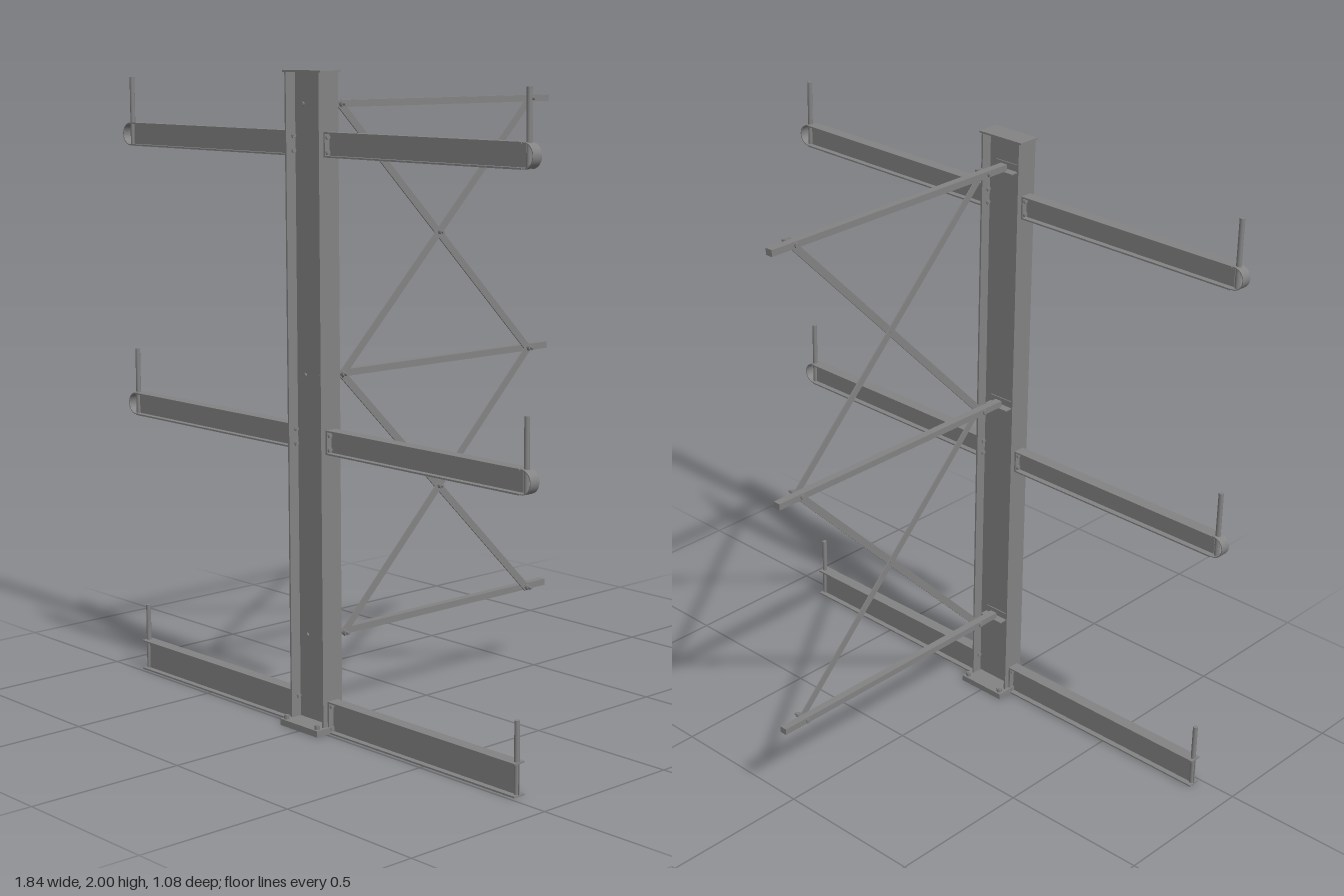
import * as THREE from 'three';

const Z = 0.466; // depth of the column centre line
const mat = new THREE.MeshStandardMaterial({ color: 0x838383 });

export function createModel() {
  const model = new THREE.Group();

  function add(geo, name, x = 0, y = 0, z = 0, parent = model) {
    const m = new THREE.Mesh(geo, mat);
    m.name = name;
    m.position.set(x, y, z);
    parent.add(m);
    return m;
  }
  const box = (name, w, h, d, x, y, z) => add(new THREE.BoxGeometry(w, h, d), name, x, y, z);

  // I-section in the shape plane (flanges at top and bottom), extruded along its length
  function iBeam(h, w, flange, web, length) {
    const a = w / 2, b = h / 2, c = web / 2, f = b - flange;
    const pts = [[-a, -b], [a, -b], [a, -f], [c, -f], [c, f], [a, f], [a, b], [-a, b], [-a, f], [-c, f], [-c, -f], [-a, -f]];
    const shape = new THREE.Shape(pts.map(p => new THREE.Vector2(...p)));
    return new THREE.ExtrudeGeometry(shape, { depth: length, bevelEnabled: false });
  }

  // Hexagonal bolt head with a short shank, along the given axis
  function bolt(name, axis, x, y, z, r, len, shank = len * 1.3) {
    const g = new THREE.Group();
    g.name = name;
    add(new THREE.CylinderGeometry(r, r, len, 6), 'boltHead', 0, 0, 0, g);
    add(new THREE.CylinderGeometry(r * 0.55, r * 0.55, shank, 10), 'boltShank', 0, 0, 0, g);
    if (axis === 'x') g.rotation.z = Math.PI / 2;
    if (axis === 'z') g.rotation.x = Math.PI / 2;
    g.position.set(x, y, z);
    model.add(g);
  }

  // Column: flanges on the left and right, web across
  const column = iBeam(0.154, 0.076, 0.006, 0.005, 1.974);
  column.rotateZ(Math.PI / 2).rotateX(-Math.PI / 2);
  add(column, 'column', 0, 0.02, Z);
  box('columnCap', 0.172, 0.006, 0.078, 0, 1.997, Z);

  // Base plate with anchor bolts
  box('basePlate', 0.174, 0.02, 0.148, 0, 0.01, 0.464);
  for (const x of [-0.072, 0.072])
    for (const z of [0.404, 0.524]) bolt('anchorBolt', 'y', x, 0.026, z, 0.009, 0.012);

  // Rounded strap closing the end of an arm
  function endStrap(r, t, width) {
    const s = new THREE.Shape();
    s.moveTo(-0.018, -r);
    s.lineTo(0, -r);
    s.absarc(0, 0, r, -Math.PI / 2, Math.PI / 2, false);
    s.lineTo(-0.018, r);
    s.lineTo(-0.018, r - t);
    s.lineTo(0, r - t);
    s.absarc(0, 0, r - t, Math.PI / 2, -Math.PI / 2, true);
    s.lineTo(-0.018, -r + t);
    return new THREE.ExtrudeGeometry(s, { depth: width, bevelEnabled: false, curveSegments: 20 }).translate(0, 0, -width / 2);
  }

  // Arms on both sides: two load levels and the base
  const levels = [
    { y: 0.05, h: 0.1, end: 0.87, pin: 0.86, top: 0.22, name: 'baseArm' },
    { y: 0.901, h: 0.074, end: 0.88, pin: 0.89, top: 1.083, name: 'middleArm' },
    { y: 1.785, h: 0.074, end: 0.88, pin: 0.89, top: 1.967, name: 'topArm' },
  ];
  for (const L of levels) {
    for (const s of [-1, 1]) {
      const beam = iBeam(L.h, 0.041, 0.005, 0.004, L.end - 0.083).rotateY(s * Math.PI / 2);
      add(beam, L.name, s * 0.083, L.y, Z);
      box('armEndPlate', 0.006, L.h, 0.041, s * 0.08, L.y, Z);
      for (const dy of [-1, 1])
        for (const dz of [-0.011, 0.011]) {
          const by = L.y + dy * (L.h / 2 - 0.015);
          bolt('armBolt', 'x', s * 0.086, by, Z + dz, 0.008, 0.006);
          bolt('armNut', 'x', s * 0.069, by, Z + dz, 0.008, 0.006);
        }
      if (L.name !== 'baseArm') {
        const strap = add(endStrap(0.036, 0.003, 0.034), 'armEndStrap', s * 0.885, L.y, Z);
        if (s < 0) strap.rotation.y = Math.PI;
      }
      // Upright stop pin
      const low = L.y - L.h / 2 + 0.002;
      add(new THREE.CylinderGeometry(0.008, 0.008, L.top - low, 14), 'stopPin', s * L.pin, (L.top + low) / 2, Z);
    }
  }

  // Horizontal braces with angle brackets bolted to the column web
  const braceY = [0.284, 1.09, 1.9];
  for (const y of braceY) {
    box('horizontalBrace', 0.025, 0.021, 0.982, -0.002, y, -0.046);
    box('braceBracket', 0.09, 0.004, 0.032, 0, y - 0.0125, 0.448);
    box('braceBracketLeg', 0.09, 0.026, 0.004, 0, y - 0.0015, 0.462);
    for (const x of [-0.034, 0.034]) bolt('bracketBolt', 'z', x, y, 0.47, 0.007, 0.006);
    for (const z of [0.365, -0.443]) {
      bolt('braceBolt', 'x', 0.024, y, z, 0.01, 0.012, 0.034);
      bolt('braceNut', 'x', -0.017, y, z, 0.009, 0.006);
    }
  }

  // Crossed diagonal flats in each bay
  for (let i = 0; i < 2; i++) {
    const y0 = braceY[i], y1 = braceY[i + 1], dy = y1 - y0, dz = 0.808;
    for (const s of [-1, 1]) {
      const bar = box('diagonalBrace', 0.004, 0.024, Math.hypot(dy, dz) + 0.016, 0.0145 + s * 0.002, (y0 + y1) / 2, -0.039);
      bar.rotation.x = s * Math.atan2(dy, dz);
    }
    bolt('crossingBolt', 'x', 0.024, (y0 + y1) / 2, -0.039, 0.008, 0.012, 0.03);
  }
  return model;
}
